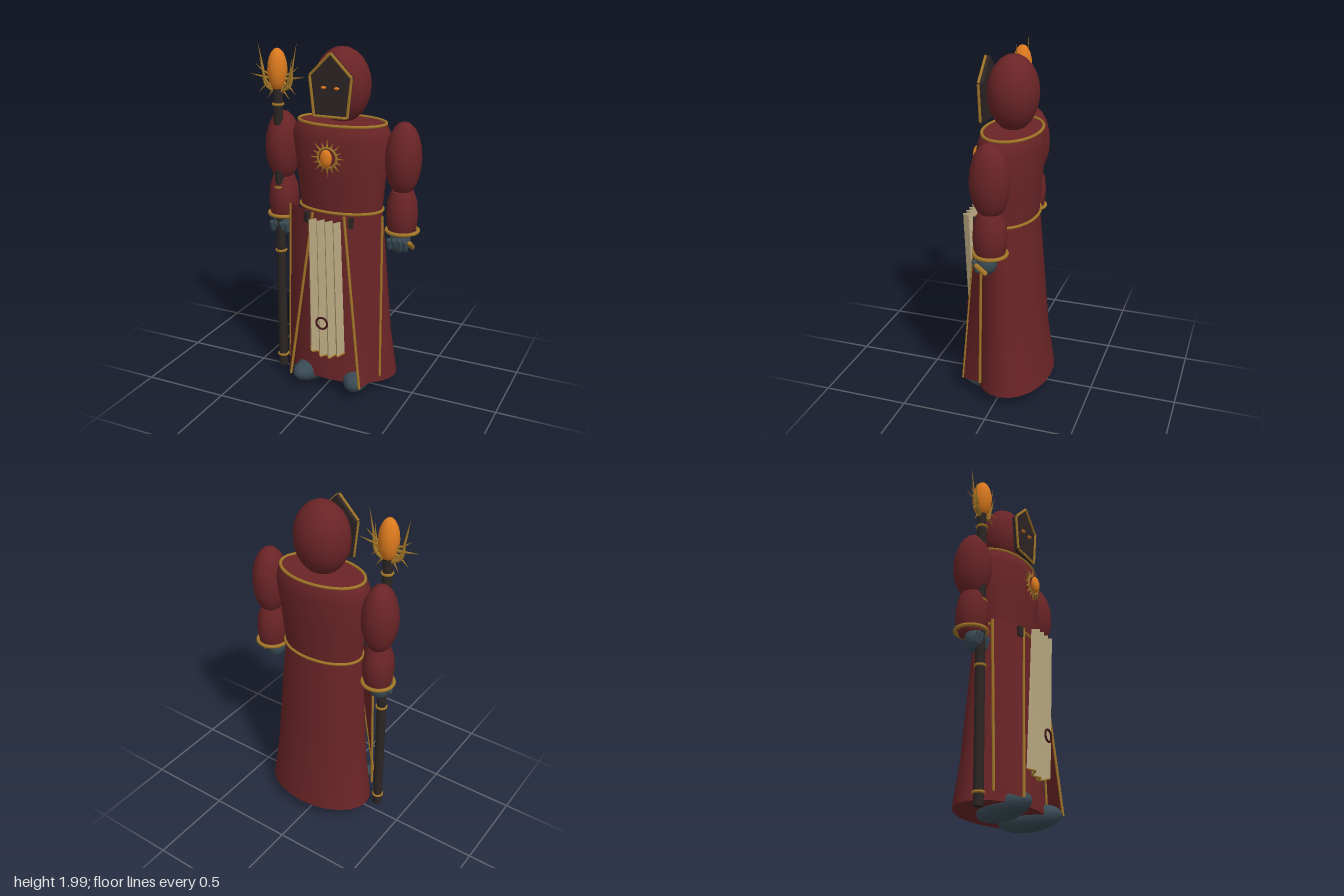
import * as THREE from 'three';
import { toCreasedNormals } from 'three/addons/utils/BufferGeometryUtils.js';

const CX = 0.035; // centre line of the body
const paint = (name, color, side = THREE.FrontSide) => {
  const m = new THREE.MeshStandardMaterial({ color, side });
  m.name = name;
  return m;
};
const lerp = THREE.MathUtils.lerp;
const V = (x, y, z) => new THREE.Vector3(x, y, z);

export function createModel() {
  const red = paint('robe red', 0x6a2426, THREE.DoubleSide);
  const gold = paint('gold trim', 0xa27628);
  const orange = paint('amber', 0xdc7a1e);
  const slate = paint('slate', 0x394a54);
  const cream = paint('cream cloth', 0xb9a981, THREE.DoubleSide);
  const dark = paint('dark mask', 0x2e2424);
  const wood = paint('staff wood', 0x2c2624);
  const maroon = paint('maroon', 0x431418);

  const model = new THREE.Group();
  model.name = 'robedFigure';
  const add = (name, geo, mat, parent = model) => {
    const mesh = new THREE.Mesh(geo, mat);
    mesh.name = name;
    parent.add(mesh);
    return mesh;
  };
  const ball = (name, mat, p, s, w = 14, h = 10) => {
    const mesh = add(name, new THREE.SphereGeometry(1, w, h), mat);
    mesh.position.set(...p);
    mesh.scale.set(...s);
    return mesh;
  };
  // Tube through points, optionally tapering to a tip
  const tube = (name, pts, r, mat, { closed = false, taper = false, n = 24, sides = 6 } = {}) => {
    const curve = new THREE.CatmullRomCurve3(pts, closed);
    const geo = new THREE.TubeGeometry(curve, n, r, sides, closed);
    if (taper) {
      const pos = geo.attributes.position, v = V(0, 0, 0);
      for (let i = 0; i < pos.count; i++) {
        const t = Math.floor(i / (sides + 1)) / n;
        v.fromBufferAttribute(pos, i).lerp(curve.getPointAt(t), t * 0.97);
        pos.setXYZ(i, v.x, v.y, v.z);
      }
      geo.computeVertexNormals();
    }
    return add(name, geo, mat);
  };
  // Oval body from sections [y, half width, half depth, centre z], bottom to top
  const oval = (name, sections, mat, x, segs = 24) => {
    const geo = new THREE.LatheGeometry(sections.map(([y]) => new THREE.Vector2(1, y)), segs);
    const pos = geo.attributes.position;
    for (let i = 0; i < pos.count; i++) {
      const [y, rx, rz, cz] = sections[i % sections.length];
      pos.setXYZ(i, x + pos.getX(i) * rx, y, cz + pos.getZ(i) * rz);
    }
    return add(name, toCreasedNormals(geo, 0.9), mat);
  };
  const ovalTrim = (name, y, rx, rz, cz, r) => {
    const pts = [];
    for (let i = 0; i < 20; i++) {
      const a = (i / 20) * Math.PI * 2;
      pts.push(V(CX + Math.sin(a) * rx, y, cz + Math.cos(a) * rz));
    }
    tube(name, pts, r, gold, { closed: true, n: 48 });
  };

  // Robe
  oval('skirt', [
    [0.08, 0, 0, -0.04], [0.08, 0.338, 0.22, -0.04], [0.35, 0.302, 0.191, -0.03],
    [0.6, 0.284, 0.177, -0.024], [0.9, 0.262, 0.162, -0.015], [1.1, 0.245, 0.15, -0.01],
  ], red, CX);
  oval('torso', [
    [1.09, 0.243, 0.149, -0.01], [1.3, 0.263, 0.162, -0.011], [1.5, 0.29, 0.177, -0.013],
    [1.55, 0.278, 0.17, -0.015], [1.585, 0.256, 0.156, -0.018], [1.6, 0, 0, -0.02],
  ], red, CX);
  ovalTrim('collarTrim', 1.587, 0.256, 0.156, -0.018, 0.009);
  ovalTrim('belt', 1.1, 0.247, 0.153, -0.01, 0.009);

  // Front robe panels with trimmed edges
  const panelPoint = (s, u, t) => V(
    CX + s * lerp(lerp(0.095, 0.22, t), lerp(0.282, 0.292, t), u),
    lerp(1.1, lerp(0.09, 0.125, u), t),
    lerp(lerp(0.165, 0.222, t), lerp(0.07, 0.09, t), u) + 0.01 * Math.sin(Math.PI * u));
  for (const s of [-1, 1]) {
    const geo = new THREE.PlaneGeometry(1, 1, 8, 6);
    const pos = geo.attributes.position;
    for (let i = 0; i < pos.count; i++) {
      const u = s * pos.getX(i) + 0.5, t = 0.5 - pos.getY(i);
      const p = panelPoint(s, u, t);
      pos.setXYZ(i, p.x, p.y, p.z);
    }
    geo.computeVertexNormals();
    add('robePanel', geo, red);
    for (const u of [0, 1])
      tube('panelTrim', [0, 0.5, 1].map(t => panelPoint(s, u, t)), 0.008, gold);
    // Belt pouches
    const pouch = add('beltPouch', new THREE.BoxGeometry(0.032, 0.06, 0.035), dark);
    pouch.position.set(CX + s * 0.132, 1.065, 0.155);
    pouch.rotation.y = s * 0.4;
  }

  // Pleated tabard: a zigzag sheet leaning back towards the hem, ending in a point
  const folds = 8;
  const pleat = (k, t) => {
    const u = k / folds * 2 - 1;
    return V(CX + u * lerp(0.097, 0.109, t),
      lerp(1.085, 0.24 + 0.035 * Math.max(0, Math.abs(u) * 1.3 - 0.3), t),
      lerp(0.235, 0.2, t) + (k % 2 ? 1 : -1) * 0.021);
  };
  const cloth = [];
  for (let k = 0; k < folds; k++) {
    const [a, b, c, d] = [pleat(k, 0), pleat(k, 1), pleat(k + 1, 1), pleat(k + 1, 0)];
    for (const p of [a, b, c, a, c, d]) cloth.push(p.x, p.y, p.z);
  }
  const clothGeo = new THREE.BufferGeometry();
  clothGeo.setAttribute('position', new THREE.Float32BufferAttribute(cloth, 3));
  clothGeo.computeVertexNormals();
  add('tabard', clothGeo, cream);
  for (let k = 0; k < folds; k++)
    tube('tabardHem', [pleat(k, 1), pleat(k + 1, 1)], 0.005, gold, { n: 1 });
  add('tabardRing', new THREE.TorusGeometry(0.034, 0.006, 8, 24), maroon).position.set(CX, 0.475, 0.255);

  // Chest sun
  ball('sunGem', orange, [CX, 1.42, 0.193], [0.035, 0.05, 0.022]);
  add('sunRing', new THREE.TorusGeometry(0.055, 0.007, 6, 24), gold).position.set(CX, 1.42, 0.178);
  for (let i = 0; i < 16; i++) {
    const a = (i / 16) * Math.PI * 2, len = i % 2 ? 0.038 : 0.052;
    const ray = add('sunRay', new THREE.ConeGeometry(0.007, len, 5), gold);
    ray.position.set(CX + Math.cos(a) * (0.056 + len / 2), 1.42 + Math.sin(a) * (0.056 + len / 2), 0.176);
    ray.rotation.z = a - Math.PI / 2;
  }

  // Hood and pointed mask
  ball('hood', red, [CX, 1.785, -0.02], [0.162, 0.207, 0.141], 16, 12);
  const outline = [[-0.098, 1.635], [0.098, 1.635], [0.122, 1.85], [0, 1.972], [-0.122, 1.85]];
  const mask = new THREE.Shape(outline.map(([x, y]) => new THREE.Vector2(x + CX, y)));
  add('mask', new THREE.ExtrudeGeometry(mask, { depth: 0.024, bevelEnabled: false }), dark).position.z = 0.108;
  outline.forEach(([x, y], i) => {
    const [x2, y2] = outline[(i + 1) % 5];
    tube('maskTrim', [V(CX + x, y, 0.135), V(CX + x2, y2, 0.135)], 0.008, gold, { n: 1 });
  });
  for (const s of [-1, 1]) ball('eye', orange, [CX + s * 0.038, 1.79, 0.138], [0.016, 0.008, 0.012], 10, 6);

  // Arms, cuffs, hands and boots
  for (const s of [-1, 1]) {
    const x = CX + s * 0.367;
    ball('upperArm', red, [x, 1.41, -0.012], [0.1, 0.207, 0.112], 12, 10);
    oval('forearm', [
      [0.98, 0, 0, -0.01], [0.985, 0.066, 0.072, -0.01], [1.03, 0.082, 0.088, -0.01],
      [1.1, 0.088, 0.095, -0.01], [1.18, 0.081, 0.087, -0.01], [1.235, 0.06, 0.065, -0.01], [1.25, 0, 0, -0.01],
    ], red, x, 14);
    const cuff = add('cuff', new THREE.TorusGeometry(0.088, 0.011, 8, 24), gold);
    cuff.position.set(x + s * 0.003, 1.005, -0.012);
    cuff.rotation.x = Math.PI / 2;
    ball('hand', slate, [x, 0.95, 0.012], [0.06, 0.07, 0.06], 12, 8);
    for (let f = 0; f < 4; f++) {
      const finger = add('finger', new THREE.CapsuleGeometry(0.014, 0.05, 3, 8), slate);
      finger.position.set(x + (f - 1.5) * 0.031, 0.938, 0.056);
      finger.rotation.x = 0.35;
    }
    const boot = ball('boot', slate, [CX + s * 0.14, 0.08, 0.06], [0.083, 0.073, 0.185], 14, 10);
    boot.rotation.set(-0.08, s * 0.22, 0, 'YXZ');
  }
  const grip = add('handClasp', new THREE.CapsuleGeometry(0.014, 0.06, 4, 8), gold);
  grip.position.set(0.47, 0.935, 0.02);
  grip.rotation.x = 0.9;

  // Staff
  const SX = -0.33, SZ = 0.045;
  add('staffPole', new THREE.CylinderGeometry(0.027, 0.027, 1.72, 12), wood).position.set(SX, 0.895, SZ);
  for (const y of [0.105, 0.79, 1.18, 1.66]) {
    const ring = add('staffRing', new THREE.TorusGeometry(0.028, 0.008, 6, 16), gold);
    ring.position.set(SX, y, SZ);
    ring.rotation.x = Math.PI / 2;
  }
  ball('staffGem', orange, [SX, 1.85, SZ], [0.056, 0.12, 0.057], 12, 10);
  for (const s of [-1, 1]) {
    const claw = (pts, r, dz = 0) => tube('staffClaw',
      pts.map(([x, y], i) => V(SX + s * x, y, SZ + dz * i)), r, gold, { taper: true, n: 12 });
    claw([[0.015, 1.73], [0.075, 1.765], [0.092, 1.86], [0.12, 1.995]], 0.013);
    claw([[0.02, 1.74], [0.065, 1.78], [0.085, 1.84], [0.1, 1.92]], 0.01, 0.007);
    claw([[0.04, 1.8], [0.1, 1.808], [0.178, 1.82]], 0.01);
    claw([[0.05, 1.82], [0.09, 1.84], [0.135, 1.875]], 0.009);
    claw([[0.04, 1.78], [0.08, 1.755], [0.115, 1.72]], 0.009, 0.005);
    claw([[0.02, 1.75], [0.045, 1.72], [0.07, 1.685]], 0.008, -0.004);
  }
  return model;
}
